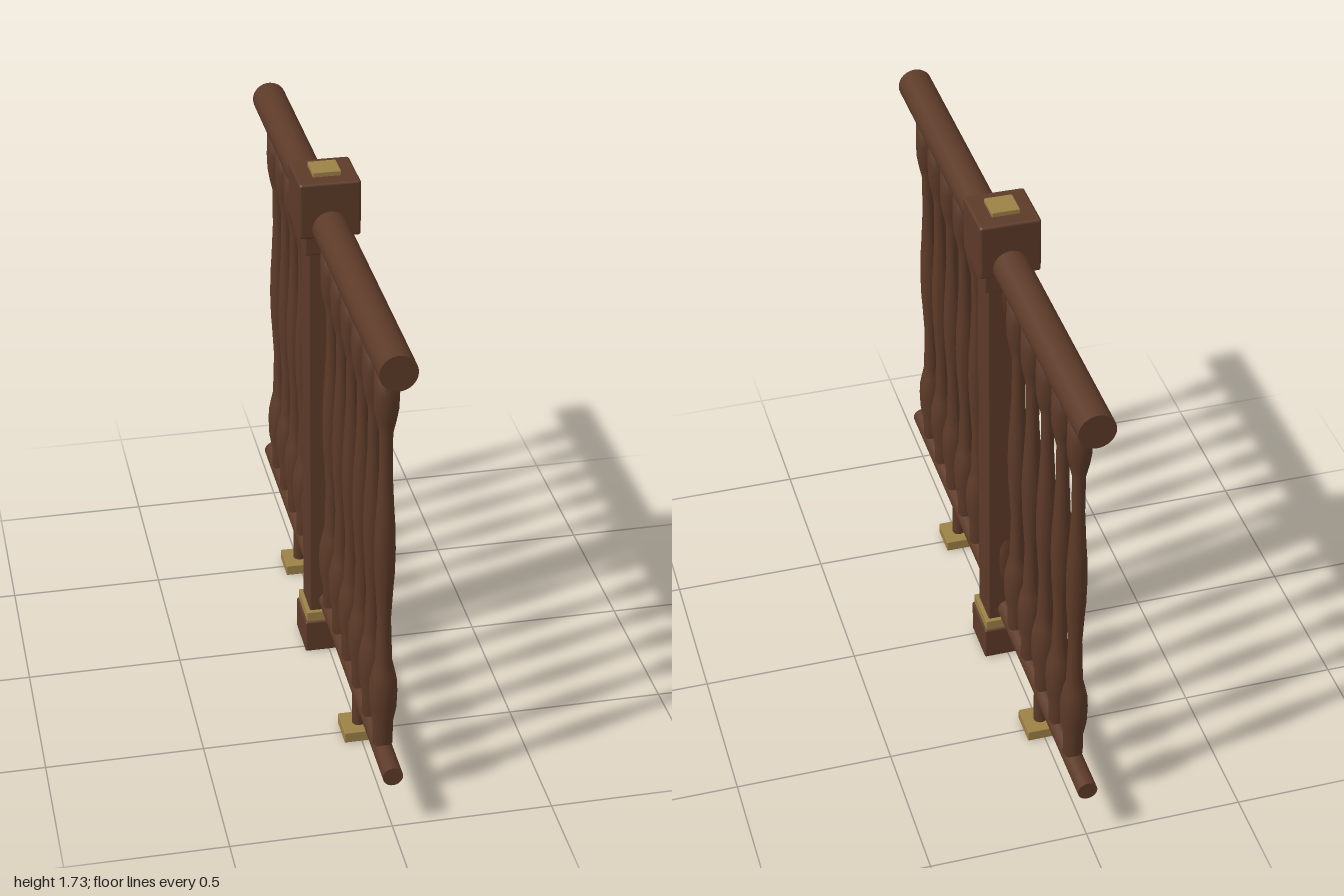
import * as THREE from 'three';
import { RoundedBoxGeometry } from 'three/addons/geometries/RoundedBoxGeometry.js';

const wood = new THREE.MeshStandardMaterial({ color: 0x5c3a28 });
const brass = new THREE.MeshStandardMaterial({ color: 0x9c8046 });
const POST_Z = -0.047;

export function createModel() {
  const model = new THREE.Group();
  model.name = 'balustrade';

  const add = (name, geometry, material, x, y, z, parent = model) => {
    const mesh = new THREE.Mesh(geometry, material);
    mesh.name = name;
    mesh.position.set(x, y, z);
    parent.add(mesh);
    return mesh;
  };

  // Square block between two heights, with softened edges
  const block = (name, width, y0, y1, z, material, bevel, parent) =>
    add(name, new RoundedBoxGeometry(width, y1 - y0, width, 2, bevel), material, 0, (y0 + y1) / 2, z, parent);

  // Round rails running the full length
  const rail = (name, radius, y) => {
    const geometry = new THREE.CylinderGeometry(radius, radius, 2, 32).rotateX(Math.PI / 2);
    add(name, geometry, wood, 0, y, 0);
  };
  rail('handrail', 0.056, 1.56);
  rail('bottomRail', 0.031, 0.185);

  // Newel post with base, collar and cap
  const post = new THREE.Group();
  post.name = 'newelPost';
  model.add(post);
  block('postBase', 0.16, 0, 0.115, POST_Z, wood, 0.006, post);
  block('postBaseBand', 0.148, 0.113, 0.15, POST_Z, brass, 0.003, post);
  block('postShaft', 0.122, 0.14, 1.48, POST_Z, wood, 0.004, post);
  block('postCollar', 0.15, 1.462, 1.53, POST_Z, wood, 0.006, post);
  block('postCap', 0.192, 1.528, 1.71, POST_Z, wood, 0.009, post);
  block('postCapPlate', 0.088, 1.7, 1.725, POST_Z, brass, 0.003, post);

  // Turned balusters, evenly spaced (one is buried in the post)
  const profile = [
    [0, 0.185], [0.018, 0.19], [0.031, 0.21], [0.031, 0.285], [0.041, 0.34],
    [0.043, 0.40], [0.041, 0.44], [0.034, 0.475], [0.026, 0.51], [0.021, 0.66],
    [0.027, 0.77], [0.030, 0.81], [0.032, 0.90], [0.030, 0.98], [0.026, 1.04],
    [0.020, 1.16], [0.020, 1.29], [0.030, 1.335], [0.036, 1.37], [0.038, 1.42],
    [0.036, 1.51], [0, 1.515],
  ].map(([r, y]) => new THREE.Vector2(r, y));
  const balusterGeometry = new THREE.LatheGeometry(profile, 24);
  for (let i = 0; i < 12; i++) add('baluster', balusterGeometry, wood, 0, 0, 0.85 - i * 0.154);

  // Short support feet under the bottom rail
  for (const z of [0.503, -0.497]) {
    const foot = new THREE.Group();
    foot.name = 'supportFoot';
    model.add(foot);
    add('footStem', new THREE.CylinderGeometry(0.021, 0.021, 0.15, 20), wood, 0, 0.105, z, foot);
    block('footPlate', 0.112, 0, 0.037, z, brass, 0.003, foot);
  }

  return model;
}
